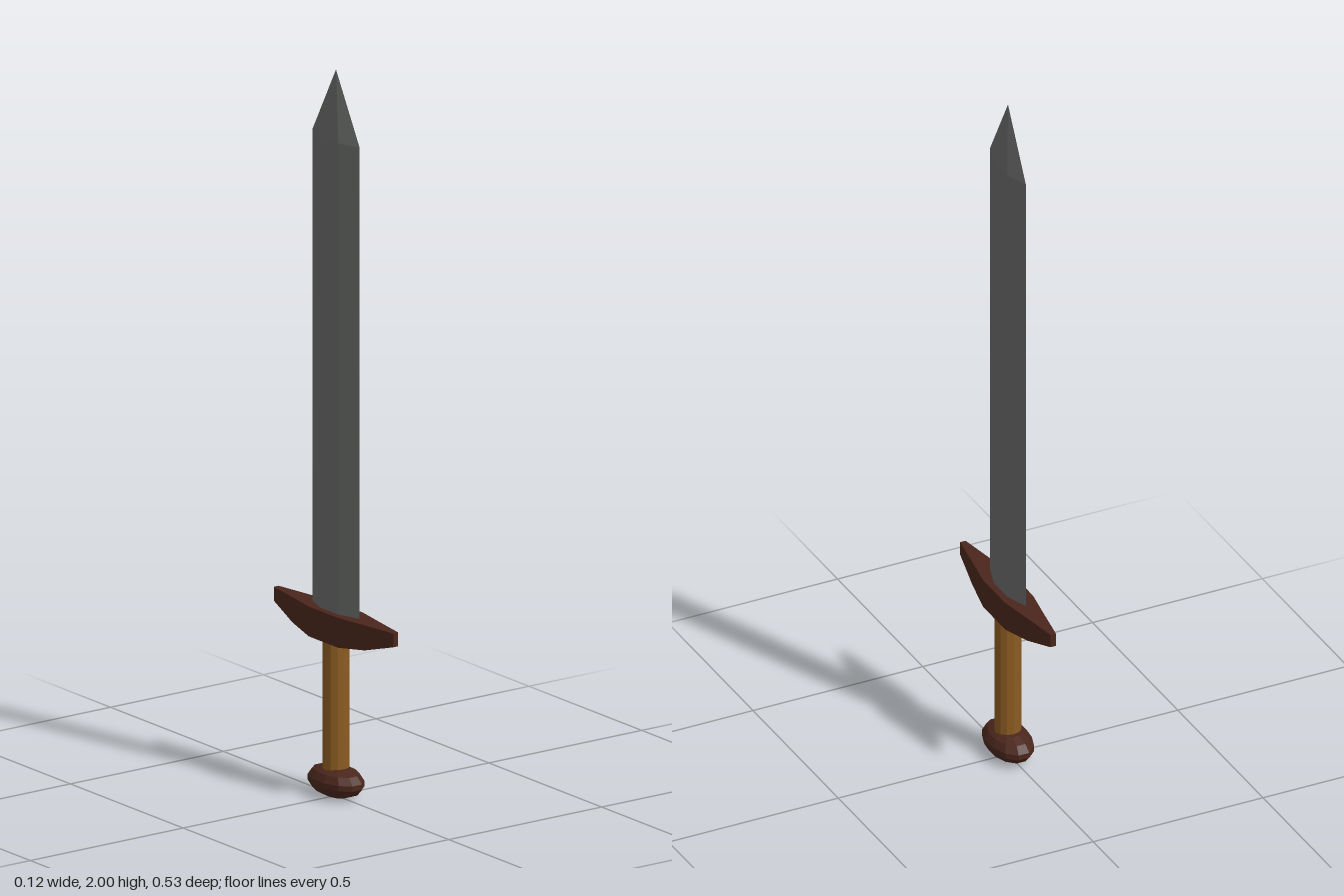
import * as THREE from 'three';

// Skin a list of equal-length rings of [x, y, z] points, capping both ends
function loft(rings) {
  const n = rings[0].length;
  const index = [];
  const last = (rings.length - 1) * n;
  for (let r = 0; r < rings.length - 1; r++) {
    for (let i = 0; i < n; i++) {
      const a = r * n + i, b = r * n + (i + 1) % n;
      index.push(a, a + n, b, b, a + n, b + n);
    }
  }
  for (let i = 1; i < n - 1; i++) {
    index.push(0, i, i + 1, last, last + i + 1, last + i);
  }
  const geometry = new THREE.BufferGeometry();
  geometry.setAttribute('position', new THREE.Float32BufferAttribute(rings.flat(2), 3));
  geometry.setIndex(index);
  const faceted = geometry.toNonIndexed();
  faceted.computeVertexNormals();
  return faceted;
}

export function createModel() {
  const group = new THREE.Group();
  const steel = new THREE.MeshStandardMaterial({ color: 0x666866, flatShading: true });
  const darkWood = new THREE.MeshStandardMaterial({ color: 0x4a261c, flatShading: true });
  const leather = new THREE.MeshStandardMaterial({ color: 0x8a5a22, flatShading: true });

  const add = (name, geometry, material) => {
    const mesh = new THREE.Mesh(geometry, material);
    mesh.name = name;
    group.add(mesh);
    return mesh;
  };

  // Blade: flattened hexagon that closes to a point
  const hexagon = [[0.022, -0.04], [0.022, 0.04], [0, 0.105], [-0.022, 0.04], [-0.022, -0.04], [0, -0.105]];
  const bladeRings = [[0.5, 1], [1.81, 1], [2, 0.001]]
    .map(([y, s]) => hexagon.map(([x, z]) => [x * s, y, z * s]));
  add('blade', loft(bladeRings), steel);

  // Crossguard: flat top, tapering sides and a rising underside
  const half = [[0.265, 0.008, 0.477], [0.16, 0.025, 0.446], [0.065, 0.041, 0.433]]; // z, half width, bottom
  const stations = [...half.map(([z, w, b]) => [-z, w, b]), ...half.slice().reverse()];
  const guardRings = stations.map(([z, w, b]) => [[w, 0.515, z], [w, b, z], [-w, b, z], [-w, 0.515, z]]);
  add('crossguard', loft(guardRings), darkWood);

  // Grip
  const grip = add('grip', new THREE.CylinderGeometry(0.036, 0.036, 0.38, 12), leather);
  grip.position.y = 0.255;

  // Pommel: faceted round knob, wider along the guard
  const profile = [[0, 0.004], [0.45, 0.007], [0.82, 0.02], [1, 0.039], [1, 0.054], [0.82, 0.073], [0.5, 0.084], [0, 0.086]]
    .map(([r, y]) => new THREE.Vector2(r, y));
  const pommel = add('pommel', new THREE.LatheGeometry(profile, 12, Math.PI / 12), darkWood);
  pommel.scale.set(0.06, 1, 0.097);

  return group;
}
